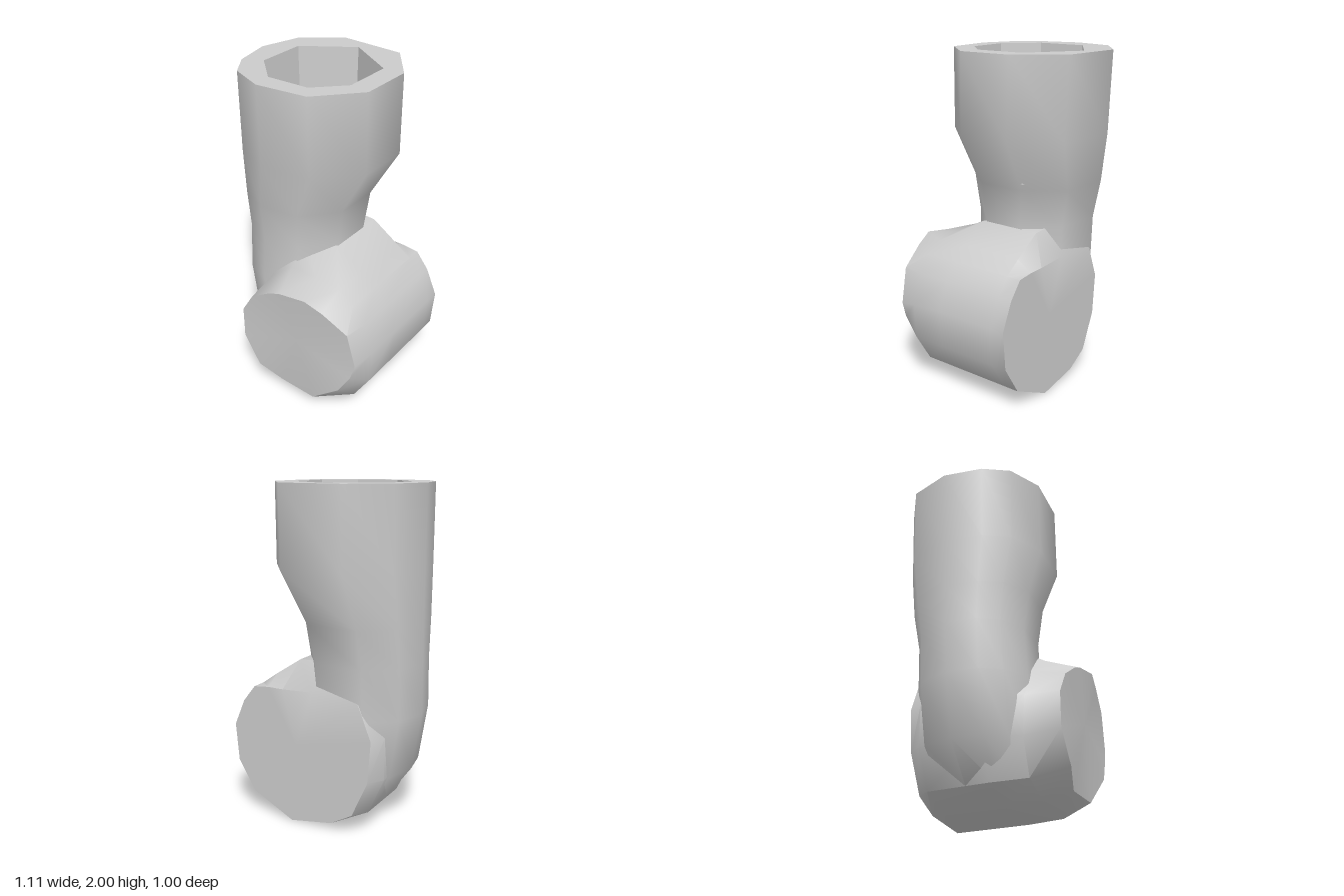
import * as THREE from 'three';
import { toCreasedNormals } from 'three/addons/utils/BufferGeometryUtils.js';

const material = new THREE.MeshStandardMaterial({ color: 0xcccccc, side: THREE.DoubleSide });

// Skin a series of equal-length rings, optionally closing the first and last.
function loft(name, rings, capStart, capEnd, crease = 0.75) {
  const pos = [];
  const tri = (a, b, c) => pos.push(...a, ...b, ...c);
  const n = rings[0].length;
  for (let i = 0; i < rings.length - 1; i++) {
    for (let j = 0; j < n; j++) {
      const k = (j + 1) % n;
      const [a, b, c, d] = [rings[i][j], rings[i][k], rings[i + 1][k], rings[i + 1][j]];
      tri(a, b, d);
      tri(b, c, d);
    }
  }
  const middle = (r) => [0, 1, 2].map((m) => r.reduce((s, p) => s + p[m], 0) / n);
  const cap = (r, flip) => {
    const c = middle(r);
    r.forEach((p, j) => {
      const q = r[(j + 1) % n];
      if (flip) tri(c, q, p);
      else tri(c, p, q);
    });
  };
  if (capStart) cap(rings[0], true);
  if (capEnd) cap(rings[rings.length - 1], false);
  const g = new THREE.BufferGeometry();
  g.setAttribute('position', new THREE.Float32BufferAttribute(pos, 3));
  const mesh = new THREE.Mesh(toCreasedNormals(g, crease), material);
  mesh.name = name;
  return mesh;
}

// Irregular outline of the upright pipe and of its bore, as [x, z]
const outline = [
  [-0.27, -0.505], [0.13, -0.48], [0.32, -0.23], [0.32, 0.1], [0.11, 0.335],
  [-0.2, 0.37], [-0.41, 0.285], [-0.51, 0.14], [-0.56, -0.09], [-0.49, -0.34],
];
const bore = [
  [-0.11, -0.415], [0.195, -0.22], [0.195, 0.08], [0.04, 0.24],
  [-0.22, 0.25], [-0.4, 0.08], [-0.4, -0.22],
];

// Outline refitted to a given height and extent
function pipeRing([y, x0, x1, z0, z1]) {
  return outline.map(([x, z]) => [
    THREE.MathUtils.mapLinear(x, -0.56, 0.32, x0, x1), y,
    THREE.MathUtils.mapLinear(z, -0.505, 0.37, z0, z1),
  ]);
}

export function createModel() {
  const model = new THREE.Group();

  // Upright pipe: y, x range, z range, narrowing to a neck and bending under
  const levels = [
    [2, -0.56, 0.32, -0.505, 0.37],
    [1.53, -0.555, 0.325, -0.49, 0.37],
    [1.23, -0.55, 0.155, -0.425, 0.32],
    [1.0, -0.545, 0.13, -0.375, 0.29],
    [0.7, -0.54, 0.12, -0.365, 0.31],
    [0.35, -0.48, 0.14, -0.36, 0.31],
    [0.13, -0.32, 0.2, -0.34, 0.29],
  ];
  model.add(loft('uprightPipe', levels.map(pipeRing), false, true, 0.95));

  // Flat rim around the bore
  const vec = ([x, z]) => new THREE.Vector2(x, -z);
  const shape = new THREE.Shape(outline.map(vec));
  shape.holes.push(new THREE.Path(bore.map(vec)));
  const rim = new THREE.Mesh(new THREE.ShapeGeometry(shape).rotateX(-Math.PI / 2), material);
  rim.position.y = 2;
  rim.name = 'rim';
  model.add(rim);

  // Bore walls and floor
  const inner = [...bore].reverse();
  const boreRings = [[2, 1], [1.27, 0.93]].map(([y, s]) =>
    inner.map(([x, z]) => [-0.1 + (x + 0.1) * s, y, -0.08 + (z + 0.08) * s]));
  model.add(loft('bore', boreRings, false, true, 0.3));

  // Cross barrel: matching [x, y] profiles from the back face to the front disc
  const back = [
    [0.55, 0.55], [0.48, 0.71], [0.4, 0.81], [0.3, 0.82], [0.2, 0.82], [0, 0.83], [-0.3, 0.8],
    [-0.38, 0.6], [-0.36, 0.35], [-0.26, 0.13], [-0.12, 0.05], [0.15, 0.005], [0.42, 0.14], [0.53, 0.32],
  ];
  const mid = [
    [0.55, 0.55], [0.48, 0.71], [0.4, 0.81], [0.3, 0.88], [0.13, 0.99], [-0.1, 1.0], [-0.3, 0.85],
    [-0.42, 0.6], [-0.42, 0.35], [-0.32, 0.13], [-0.13, 0.04], [0.15, 0.005], [0.42, 0.14], [0.53, 0.32],
  ];
  const shoulder = [
    [0.54, 0.53], [0.48, 0.71], [0.4, 0.81], [0.3, 0.87], [0.13, 0.885], [-0.04, 0.89], [-0.2, 0.76],
    [-0.32, 0.58], [-0.34, 0.35], [-0.27, 0.14], [-0.11, 0.05], [0.15, 0.015], [0.42, 0.14], [0.53, 0.32],
  ];
  const disc = [
    [0.51, 0.5], [0.46, 0.71], [0.31, 0.81], [0.2, 0.86], [0.02, 0.83], [-0.06, 0.8], [-0.2, 0.71],
    [-0.28, 0.58], [-0.28, 0.38], [-0.17, 0.2], [-0.03, 0.11], [0.21, 0.1], [0.41, 0.28], [0.48, 0.4],
  ];
  const at = (profile, z) => profile.map(([x, y]) => [x, y, z]);
  // The front disc leans back towards its lower and right edges
  const front = disc.map(([x, y]) => [x, y, 0.5 - (y < 0.2 ? 0.05 : 0) - Math.max(0, x - 0.2) * 0.2]);
  model.add(loft('crossBarrel',
    [at(back, -0.37), at(mid, -0.28), at(mid, 0.1), at(shoulder, 0.31), front], true, true, 0.7));

  return model;
}
